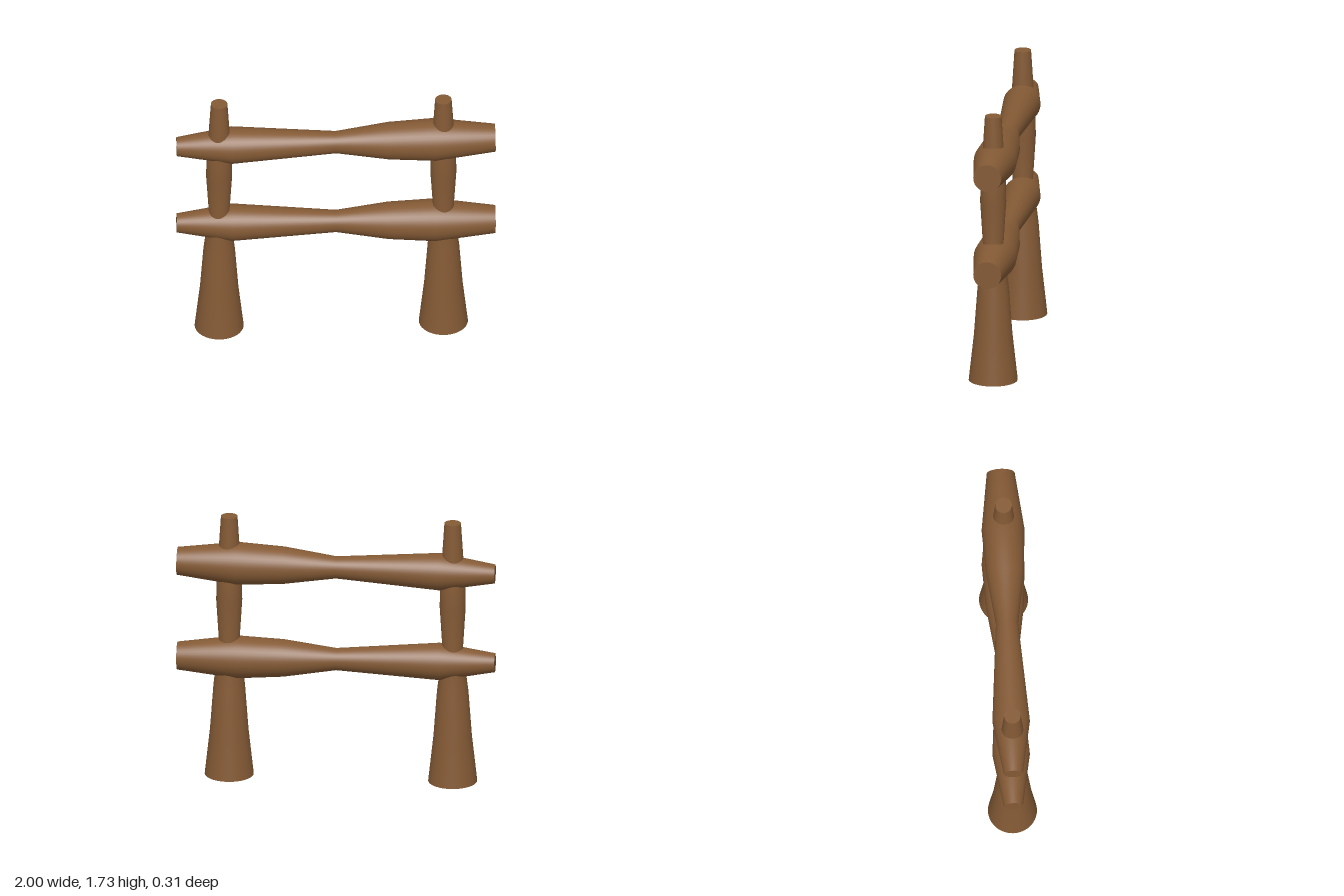
import * as THREE from 'three';

// Solid turned shape along +y from [radius, position] pairs, with sharp-edged end caps
function turned(profile) {
  const first = profile[0], last = profile[profile.length - 1];
  const pts = [[0, first[1]], first, ...profile, last, [0, last[1]]];
  const geo = new THREE.LatheGeometry(pts.map(([r, y]) => new THREE.Vector2(r, y)), 40);
  geo.normalizeNormals();
  return geo;
}

export function createModel() {
  const group = new THREE.Group();
  group.name = 'woodenFence';
  const wood = new THREE.MeshStandardMaterial({ color: 0x845a35 });
  wood.name = 'brown wood';

  // Upright posts: flared foot, narrow waist, slight swelling between the rails
  const postGeo = turned([
    [0.154, 0], [0.121, 0.3], [0.099, 0.6], [0.064, 0.88],
    [0.082, 1.17], [0.079, 1.31], [0.052, 1.73],
  ]);
  for (const [name, x] of [['rightPost', -0.733], ['leftPost', 0.674]]) {
    const post = new THREE.Mesh(postGeo, wood);
    post.name = name;
    post.position.x = x;
    group.add(post);
  }

  // Crossing rails: thick near the posts, thin in the middle, slightly tilted
  const railGeo = turned([
    [0.06, -1], [0.118, -0.652], [0.07, 0], [0.118, 0.33], [0.135, 0.625], [0.088, 1],
  ]);
  railGeo.rotateZ(-Math.PI / 2);
  for (const [name, y, tilt] of [['lowerRail', 0.792, -0.01], ['upperRail', 1.409, 0.01]]) {
    const rail = new THREE.Mesh(railGeo, wood);
    rail.name = name;
    rail.position.set(0, y, -0.005);
    rail.rotation.z = tilt;
    group.add(rail);
  }
  return group;
}
